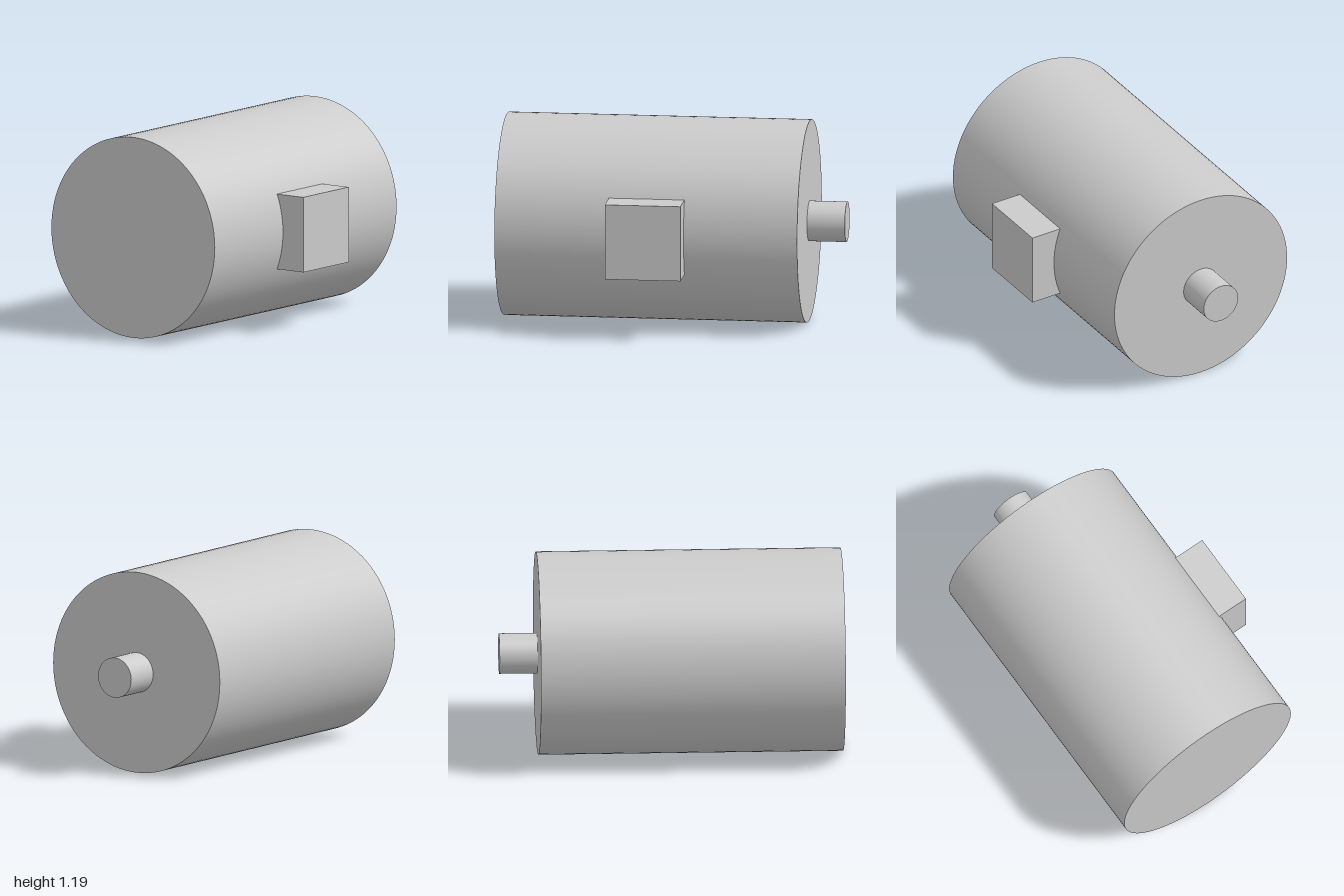
import * as THREE from 'three';

const AXIS_Y = 0.593, AXIS_Z = -0.074;

export function createModel() {
  const model = new THREE.Group();
  const material = new THREE.MeshStandardMaterial({ color: 0xcccccc });

  const add = (name, geometry, x, y, z) => {
    const mesh = new THREE.Mesh(geometry, material);
    mesh.name = name;
    mesh.position.set(x, y, z);
    model.add(mesh);
  };

  // Cylinder lying along x on the shared motor axis
  const addRod = (name, radius, x0, x1) => {
    const geometry = new THREE.CylinderGeometry(radius, radius, x1 - x0, 96).rotateZ(-Math.PI / 2);
    add(name, geometry, (x0 + x1) / 2, AXIS_Y, AXIS_Z);
  };

  addRod('motorBody', 0.593, -1, 0.778);
  addRod('driveShaft', 0.118, 0.775, 1);

  // Terminal box, its back sunk into the curved side of the body
  const back = 0.47, front = 0.667;
  add('terminalBox', new THREE.BoxGeometry(0.444, 0.444, front - back), -0.111, AXIS_Y, (back + front) / 2);

  return model;
}
